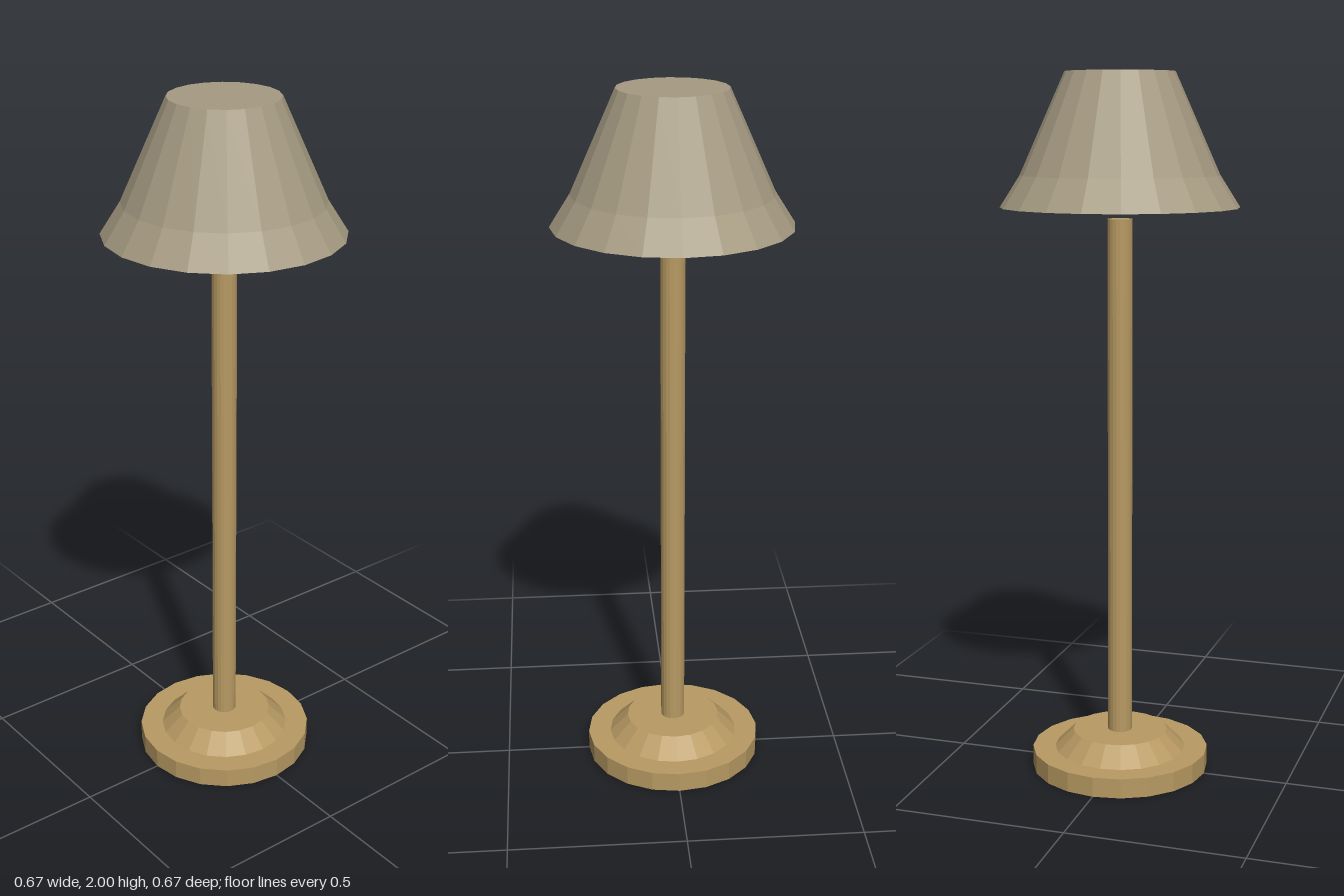
import * as THREE from 'three';

const SIDES = 20;

// Faceted solid of revolution; the profile runs upward from the axis and back to it.
function turned(name, profile, material) {
  const points = profile.map(([r, y]) => new THREE.Vector2(r, y));
  const mesh = new THREE.Mesh(new THREE.LatheGeometry(points, SIDES), material);
  mesh.name = name;
  return mesh;
}

export function createModel() {
  const brass = new THREE.MeshStandardMaterial({ color: 0xb89a63, flatShading: true });
  brass.name = 'brass';
  const fabric = new THREE.MeshStandardMaterial({ color: 0xa69b82, flatShading: true });
  fabric.name = 'shade fabric';

  const lamp = new THREE.Group();
  lamp.name = 'floorLamp';
  lamp.add(
    // Round foot with a raised, sloping collar
    turned('base', [[0, 0], [0.256, 0], [0.256, 0.057], [0, 0.057]], brass),
    turned('baseCollar', [[0.19, 0.057], [0.137, 0.11], [0, 0.11]], brass),
    // Slim upright
    turned('pole', [[0, 0.1], [0.035, 0.1], [0.035, 1.6], [0, 1.6]], brass),
    // Closed shade, flared at the hem and floating just above the pole
    turned('shade', [[0, 1.632], [0.333, 1.632], [0.277, 1.72], [0.152, 2], [0, 2]], fabric),
  );
  return lamp;
}
